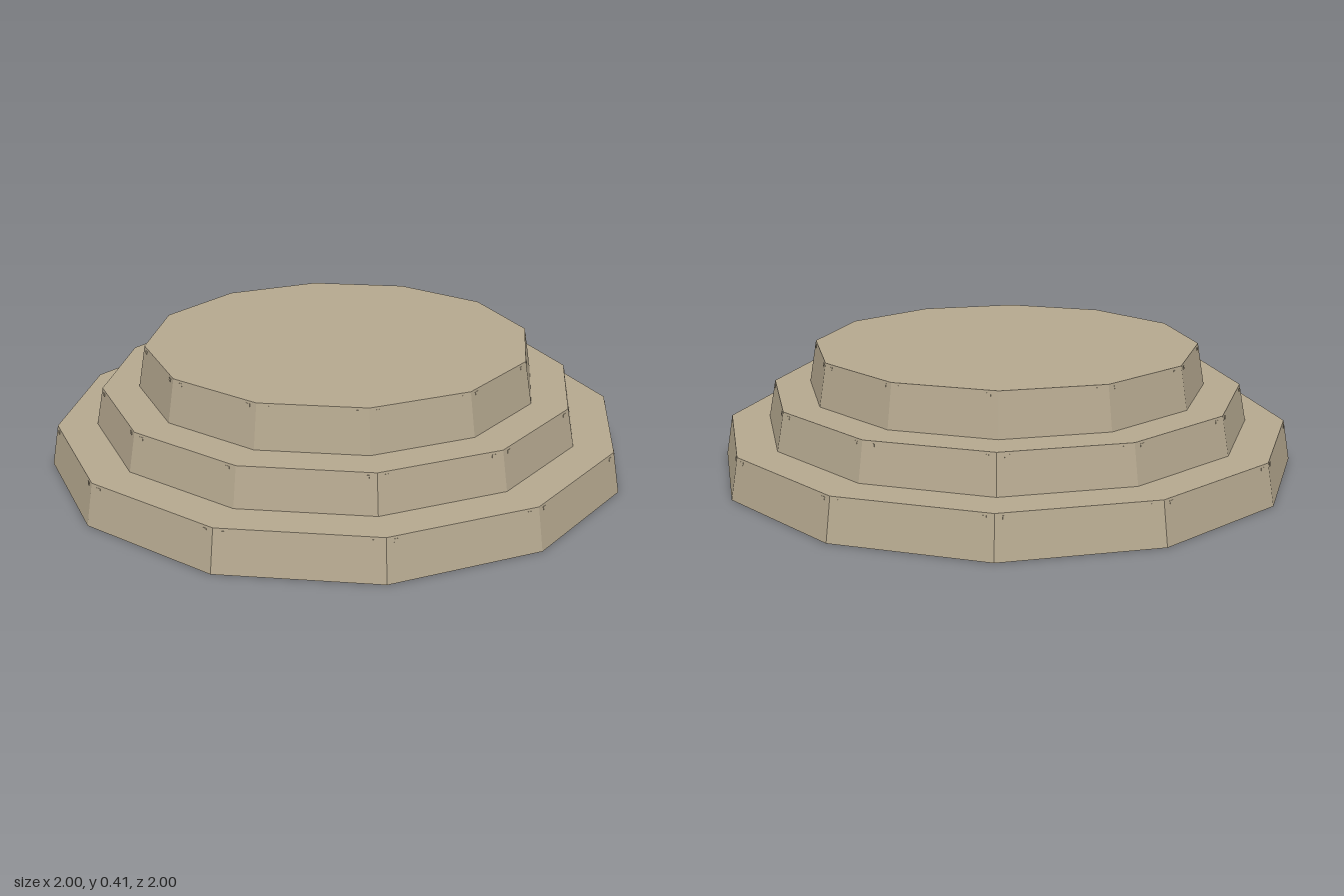
import * as THREE from 'three';

const SIDES = 12;

export function createModel() {
  const model = new THREE.Group();
  model.name = 'steppedPlatform';
  const stone = new THREE.MeshStandardMaterial({ color: 0xb5a88f, flatShading: true });
  stone.name = 'tan stone';

  // Tapered twelve-sided tiers: bottom height, top height, bottom radius, top radius
  const tiers = [
    ['lowerStep', 0, 0.14, 1.0, 0.975],
    ['middleStep', 0.14, 0.27, 0.84, 0.815],
    ['upperStep', 0.27, 0.415, 0.69, 0.665],
  ];
  const chipGeometry = new THREE.BoxGeometry(0.016, 0.01, 0.003);

  for (const [name, y0, y1, r0, r1] of tiers) {
    const tier = new THREE.Group();
    tier.name = name;
    const block = new THREE.Mesh(new THREE.CylinderGeometry(r1, r0, y1 - y0, SIDES), stone);
    block.name = name + 'Block';
    block.position.y = (y0 + y1) / 2;
    tier.add(block);

    // Tiny raised chips on either side of every upper corner
    const half = Math.PI / SIDES;
    const drop = 0.013;
    const r = r1 + (r0 - r1) * drop / (y1 - y0);
    const tilt = -Math.atan((r0 - r1) * Math.cos(half) / (y1 - y0));
    for (let i = 0; i < SIDES; i++) {
      const face = new THREE.Group();
      face.name = 'cornerChips';
      face.rotation.y = half * (2 * i + 1);
      for (const side of [-1, 1]) {
        const chip = new THREE.Mesh(chipGeometry, stone);
        chip.name = 'cornerChip';
        chip.position.set(side * (r * Math.sin(half) - 0.032), y1 - drop, r * Math.cos(half));
        chip.rotation.x = tilt;
        face.add(chip);
      }
      tier.add(face);
    }
    model.add(tier);
  }
  return model;
}
